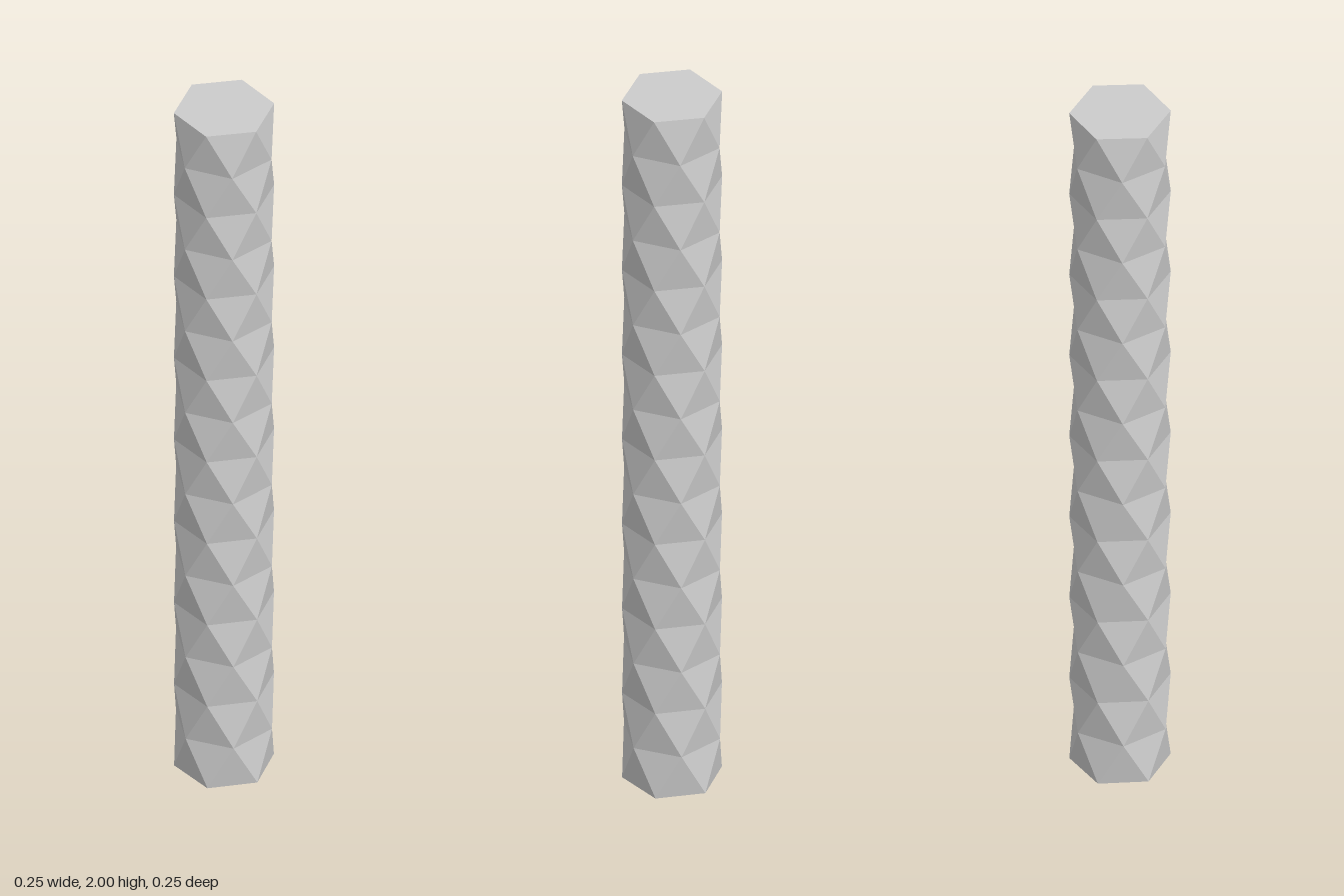
import * as THREE from 'three';

const RADIUS = 0.125, HEIGHT = 2, SIDES = 6, LEVELS = 16;
// Each ring turns just under half a side. Turning one whole side less gives the
// same corners, but makes the facets split along the short, convex diagonal.
const TURN = THREE.MathUtils.degToRad(29.89 - 360 / SIDES);

export function createModel() {
  const group = new THREE.Group();
  group.name = 'twistedColumn';

  // hexagonal prism standing on the ground, corners on the x axis
  const geometry = new THREE.CylinderGeometry(
    RADIUS, RADIUS, HEIGHT, SIDES, LEVELS, false, Math.PI / SIDES);
  geometry.translate(0, HEIGHT / 2, 0);

  // twist every ring about the vertical axis
  const position = geometry.attributes.position;
  const up = new THREE.Vector3(0, 1, 0);
  const p = new THREE.Vector3();
  for (let i = 0; i < position.count; i++) {
    p.fromBufferAttribute(position, i);
    p.applyAxisAngle(up, TURN * LEVELS * p.y / HEIGHT);
    position.setXYZ(i, p.x, p.y, p.z);
  }

  const faceted = geometry.toNonIndexed();
  faceted.computeVertexNormals();
  const column = new THREE.Mesh(faceted,
    new THREE.MeshStandardMaterial({ color: 0xcccccc, flatShading: true }));
  column.name = 'twistedShaft';
  group.add(column);
  return group;
}
